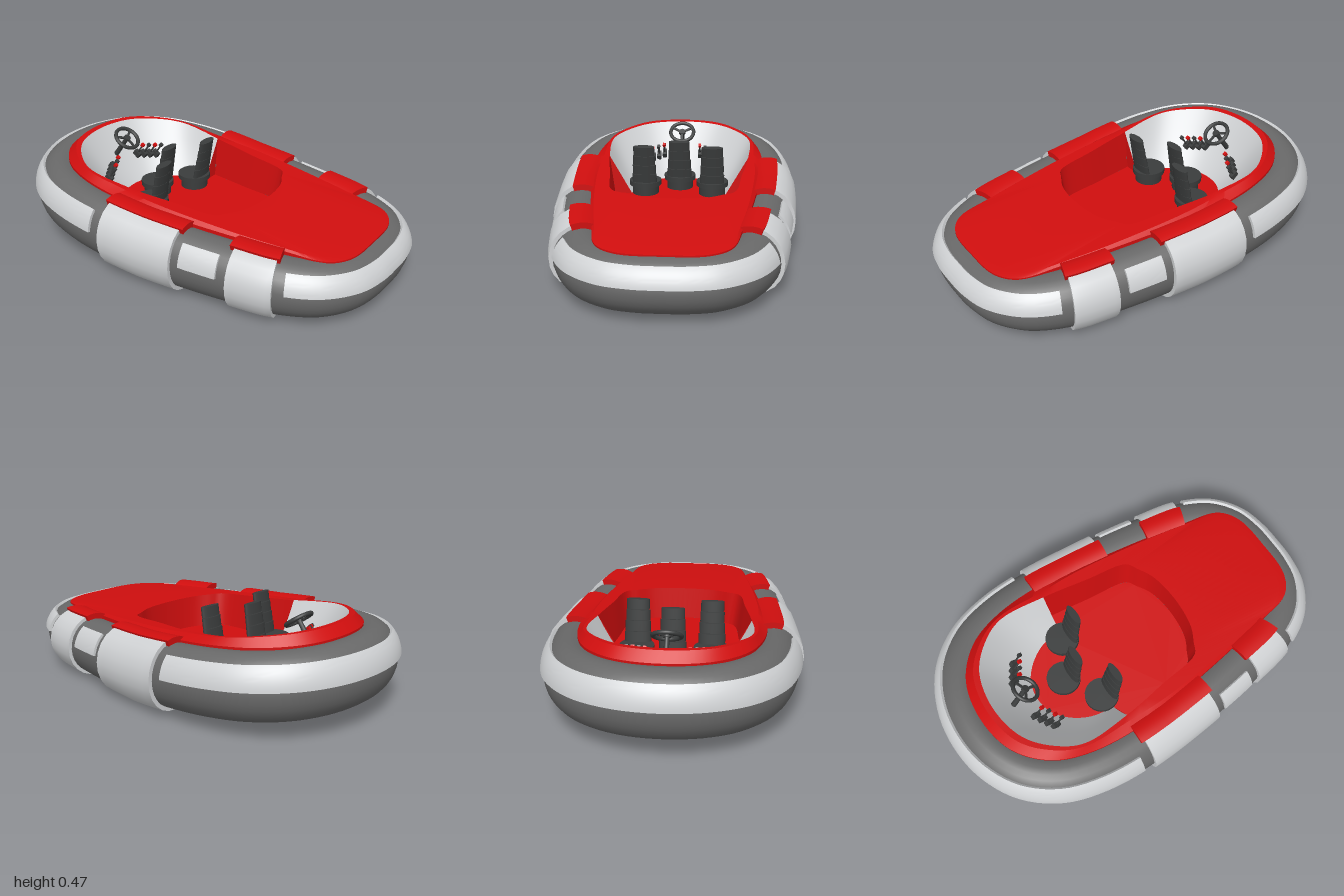
import * as THREE from 'three';
import { toCreasedNormals } from 'three/addons/utils/BufferGeometryUtils.js';

const mat = (name, color, side = THREE.FrontSide) => {
  const m = new THREE.MeshStandardMaterial({ color, side });
  m.name = name;
  return m;
};

// piecewise linear lookup, keys are [x, value]
function lookup(keys, x) {
  if (x <= keys[0][0]) return keys[0][1];
  for (let i = 1; i < keys.length; i++) {
    const [a, va] = keys[i - 1], [b, vb] = keys[i];
    if (x <= b) return va + (vb - va) * (x - a) / (b - a);
  }
  return keys[keys.length - 1][1];
}

// closed plan curve, mirrored from its z >= 0 half, running bow to stern and back
function planCurve(half) {
  const back = half.slice(1, -1).reverse().map(([x, z]) => [x, -z]);
  return new THREE.CatmullRomCurve3([...half, ...back].map(([x, z]) => new THREE.Vector3(x, 0, z)), true);
}
const wrap = (u) => ((u % 1) + 1) % 1;

// surface from rows of points p(u, v)
function grid(us, vs, p, crease = 0.6) {
  const pos = [], idx = [], n = vs.length;
  us.forEach((u, i) => vs.forEach((v, j) => pos.push(...p(u, v, i, j))));
  for (let i = 0; i < us.length - 1; i++) for (let j = 0; j < n - 1; j++) {
    const a = i * n + j, b = a + n;
    idx.push(a, b, b + 1, a, b + 1, a + 1);
  }
  const g = new THREE.BufferGeometry();
  g.setAttribute('position', new THREE.Float32BufferAttribute(pos, 3));
  g.setIndex(idx);
  return toCreasedNormals(g, crease);
}
const steps = (a, b, n) => Array.from({ length: n + 1 }, (_, i) => a + (b - a) * i / n);

export function createModel() {
  const root = new THREE.Group();
  const grey = mat('tube grey', 0x686868);
  const light = mat('light grey', 0xd0d2d4);
  const red = mat('red', 0xd00e0e, THREE.DoubleSide);
  const dark = mat('dark grey', 0x3a3c3c);
  const add = (name, geo, m, parent = root) => {
    const mesh = new THREE.Mesh(geo, m);
    mesh.name = name;
    parent.add(mesh);
    return mesh;
  };

  // inflated ring: an oval section swept round the hull outline
  const hull = planCurve([[-0.985, 0], [-0.955, 0.2], [-0.86, 0.38], [-0.7, 0.51], [-0.5, 0.575], [-0.24, 0.597],
    [0.16, 0.573], [0.42, 0.54], [0.66, 0.495], [0.84, 0.4], [0.945, 0.26], [0.98, 0.12], [0.985, 0]]);
  const R = 0.127;
  const midY = [[-0.86, 0.245], [-0.04, 0.172], [0.55, 0.155], [0.87, 0.15]];
  const halfH = [[-0.86, 0.155], [-0.04, 0.152], [0.55, 0.138], [0.87, 0.125]];
  const tubePoint = (u, ang, off) => {
    const c = hull.getPoint(wrap(u)), t = hull.getTangent(wrap(u));
    const nx = -t.z, nz = t.x, k = Math.cos(ang) * (R + off) - R;
    const cx = c.x - nx * R;
    return [c.x + nx * k, lookup(midY, cx) + Math.sin(ang) * (lookup(halfH, cx) + off), c.z + nz * k];
  };
  add('tube', grid(steps(0, 1, 96), steps(0, Math.PI * 2, 28), (u, a) => tubePoint(u, a, 0), 1.2), grey);

  // raised patch lying on the tube; its outer rows sink into the tube
  const patch = (name, u0, u1, a0, a1, off, m, n = 8) => {
    const d = Math.PI / 180;
    const us = [u0, ...steps(u0, u1, n), u1], vs = [a0 * d, ...steps(a0 * d, a1 * d, 12), a1 * d];
    add(name, grid(us, vs, (u, a, i, j) => {
      const edge = i === 0 || j === 0 || i === us.length - 1 || j === vs.length - 1;
      return tubePoint(u, a, edge ? -0.008 : off);
    }), m);
  };
  const uAt = (x) => {
    let a = 0, b = 0.5;
    for (let i = 0; i < 30; i++) {
      const m = (a + b) / 2;
      if (hull.getPoint(m).x < x) a = m; else b = m;
    }
    return a;
  };
  const sides = (name, x0, x1, ...rest) => {
    const a = uAt(x0), b = uAt(x1);
    patch(name + 'Left', a, b, ...rest);
    patch(name + 'Right', 1 - b, 1 - a, ...rest);
  };
  patch('bowBand', -uAt(-0.3), uAt(-0.3), 8, 50, 0.014, light, 48);
  patch('sternBand', uAt(0.7), 1 - uAt(0.7), 12, 53, 0.014, light, 40);
  sides('largeFender', -0.24, 0.16, -112, 85, 0.02, light);
  sides('smallFender', 0.44, 0.65, -112, 85, 0.017, light);
  sides('sidePlate', 0.205, 0.39, 10, 54, 0.012, light);
  sides('largeFenderCap', -0.26, 0.18, 73, 128, 0.028, red);
  sides('smallFenderCap', 0.42, 0.665, 73, 128, 0.028, red);

  // deck shell: outer edge, shoulder and cockpit opening share one parameter
  const outer = planCurve([[-0.82, 0], [-0.78, 0.2], [-0.66, 0.34], [-0.5, 0.41], [-0.24, 0.44],
    [0.2, 0.395], [0.6, 0.33], [0.79, 0.285], [0.86, 0.19], [0.875, 0]]);
  const openHalf = [[-0.745, 0], [-0.705, 0.19], [-0.6, 0.31], [-0.48, 0.372], [-0.24, 0.365],
    [0, 0.33], [0.21, 0.295], [0.245, 0.24], [0.285, 0.16], [0.305, 0]];
  const opening = planCurve(openHalf);
  const deckY = [[-0.8, 0.445], [-0.75, 0.44], [-0.2, 0.366], [0.4, 0.318], [0.9, 0.285]];
  const tubeTop = (x) => lookup(midY, x) + lookup(halfH, x);
  const rim = (u) => {
    const p = opening.getPoint(wrap(u));
    return new THREE.Vector3(p.x, lookup(deckY, p.x), p.z);
  };
  add('deck', grid(steps(0, 1, 108), [0, 1, 2, 3], (u, v) => {
    const o = outer.getPoint(wrap(u)), p = rim(u);
    if (v === 0) return [o.x, tubeTop(o.x) - 0.03, o.z];
    if (v === 1) return [o.x, tubeTop(o.x) + 0.006, o.z];
    const f = v === 3 ? 1 : Math.min(0.65, 0.045 / o.distanceTo(new THREE.Vector3(p.x, 0, p.z)));
    const x = o.x + (p.x - o.x) * f;
    return [x, lookup(deckY, x), o.z + (p.z - o.z) * f];
  }, 0.5), red);

  // cockpit: sloping light bowl at the bow, steep red walls astern, flat floor
  const FLOOR = 0.165, uStep = 4 / 18;
  const arcHalf = [[-0.53, 0], [-0.51, 0.095], [-0.45, 0.17], [-0.36, 0.225], [-0.24, 0.25]];
  const arc = new THREE.CatmullRomCurve3([...arcHalf.slice(1).reverse().map(([x, z]) => [x, -z]), ...arcHalf]
    .map(([x, z]) => new THREE.Vector3(x, FLOOR, z)));
  const bowl = (drop) => grid(steps(-uStep, uStep, 48), steps(0, 1, 4), (u, v) => {
    const p = rim(u).lerp(arc.getPoint((u + uStep) / (2 * uStep)), v);
    return [p.x, p.y - drop - 0.012 * Math.sin(v * Math.PI), p.z];
  });
  add('cockpitBowl', bowl(0), light);
  add('cockpitBowlUnderside', bowl(0.007), red);
  const foot = (u) => {
    const p = rim(u);
    return [p.x < -0.2 ? p.x : p.x - 0.015, FLOOR, p.z * 0.93];
  };
  add('cockpitWall', grid(steps(uStep, 1 - uStep, 60), [0, 1],
    (u, v) => (v ? foot(u) : rim(u).toArray()), 0.3), red);
  for (const s of [1, -1]) {
    const z = 0.365 * s, g = new THREE.BufferGeometry().setFromPoints([
      new THREE.Vector3(-0.24, lookup(deckY, -0.24), z), new THREE.Vector3(-0.24, FLOOR, z * 0.93),
      new THREE.Vector3(-0.24, FLOOR, 0.25 * s)]);
    g.setIndex(s > 0 ? [0, 2, 1] : [0, 1, 2]);
    g.computeVertexNormals();
    add('cockpitStep', g, red);
  }
  const floorPts = [...arc.getPoints(32).map((p) => new THREE.Vector2(p.x, p.z)),
    ...steps(uStep, 1 - uStep, 40).map((u) => new THREE.Vector2(foot(u)[0], foot(u)[2]))];
  add('cockpitFloor', new THREE.ShapeGeometry(new THREE.Shape(floorPts)).rotateX(Math.PI / 2), red)
    .position.y = FLOOR;

  // round seats with stepped backrests, facing the bow
  for (const [x, z] of [[-0.37, 0], [-0.262, 0.178], [-0.262, -0.178]]) {
    const seat = new THREE.Group();
    seat.name = 'seat';
    seat.position.set(x, FLOOR, z);
    root.add(seat);
    add('seatBase', new THREE.CylinderGeometry(0.07, 0.07, 0.11, 28), dark, seat).position.y = -0.005;
    add('seatCushion', new THREE.CylinderGeometry(0.084, 0.084, 0.025, 28), dark, seat).position.y = 0.06;
    for (let i = 0; i < 4; i++) {
      const pad = add('backrestSection', new THREE.CylinderGeometry(1, 1, 0.05, 20), dark, seat);
      pad.scale.set(0.019, 1, 0.064 - i * 0.003);
      pad.position.set(0.05 + i * 0.01, 0.095 + i * 0.052, 0);
      pad.rotation.z = -0.16;
    }
  }

  // steering wheel, tilted toward the seats
  const wheel = new THREE.Group();
  wheel.name = 'steeringWheel';
  wheel.position.set(-0.57, 0.42, 0);
  wheel.rotation.z = -0.64;
  root.add(wheel);
  add('wheelRim', new THREE.TorusGeometry(0.064, 0.01, 10, 32).rotateX(Math.PI / 2), dark, wheel);
  add('wheelHub', new THREE.CylinderGeometry(0.018, 0.018, 0.016, 16), dark, wheel);
  for (let i = 0; i < 3; i++) {
    const a = i * Math.PI * 2 / 3;
    const spoke = add('wheelSpoke', new THREE.BoxGeometry(0.06, 0.007, 0.012), dark, wheel);
    spoke.position.set(Math.cos(a) * 0.032, 0, -Math.sin(a) * 0.032);
    spoke.rotation.y = a;
  }
  add('steeringColumn', new THREE.CylinderGeometry(0.011, 0.014, 0.14, 12), dark, wheel).position.y = -0.075;

  // control levers with red knobs on both sides of the wheel
  for (const s of [1, -1]) for (let i = 0; i < 4; i++) {
    const lever = new THREE.Group();
    lever.name = 'controlLever';
    lever.position.set(-0.59 + i * 0.018, 0.29 - i * 0.006, s * (0.1 + i * 0.03));
    lever.rotation.z = -0.6;
    root.add(lever);
    add('leverMount', new THREE.BoxGeometry(0.04, 0.03, 0.022), dark, lever);
    add('leverRod', new THREE.CylinderGeometry(0.005, 0.005, 0.07, 8), dark, lever).position.y = 0.035;
    add('leverKnob', new THREE.BoxGeometry(0.018, 0.016, 0.016), i % 2 ? dark : red, lever).position.y = 0.072;
  }
  return root;
}
